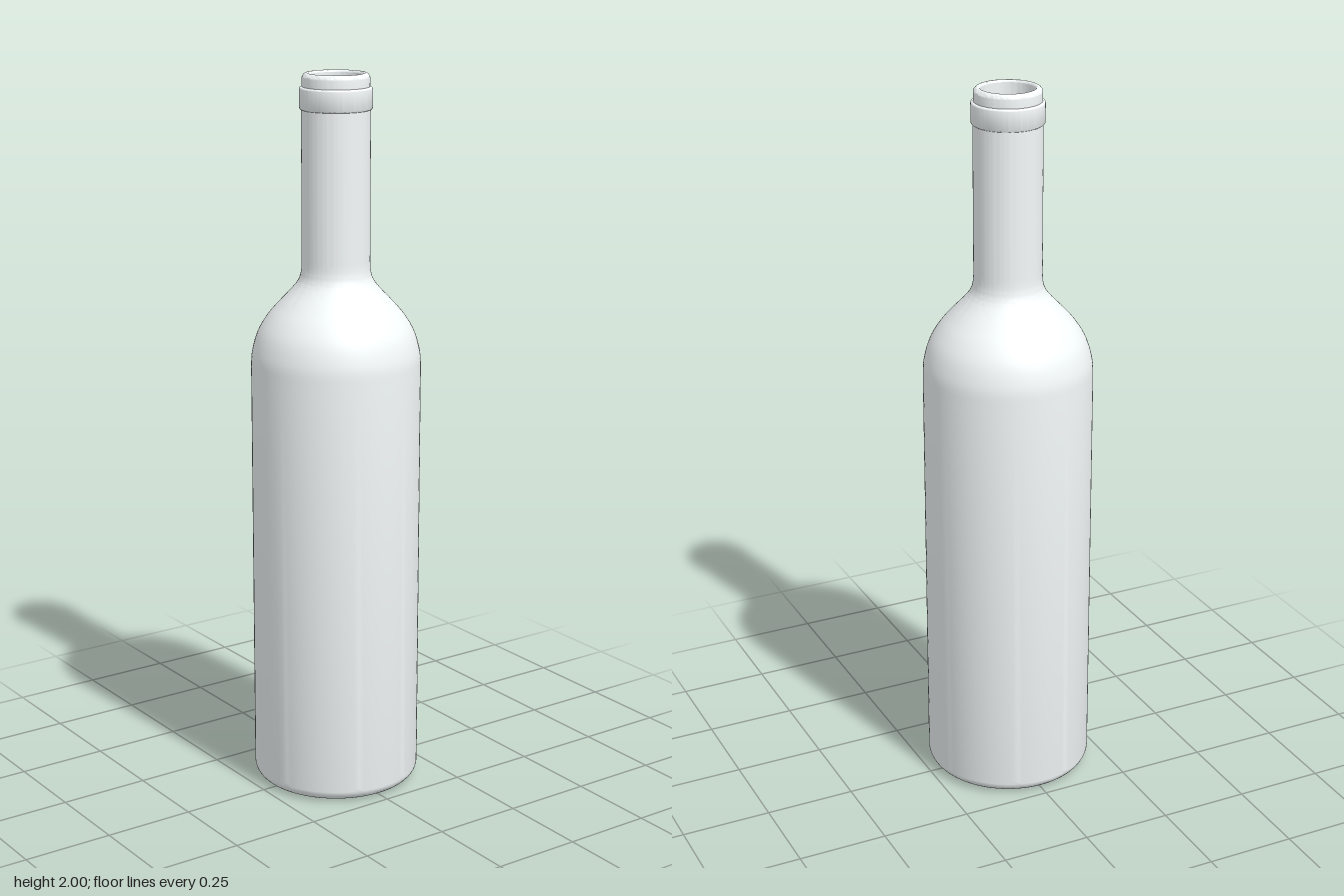
import * as THREE from 'three';
import { toCreasedNormals } from 'three/addons/utils/BufferGeometryUtils.js';

const V = (x, y) => new THREE.Vector2(x, y);
const glass = new THREE.MeshStandardMaterial({ color: 0xf5fafa });

// Surface of revolution: profiles running upwards face out, downwards face in
function turned(name, points) {
  const geometry = toCreasedNormals(new THREE.LatheGeometry(points, 96), 0.6);
  const mesh = new THREE.Mesh(geometry, glass);
  mesh.name = name;
  return mesh;
}

// Arc of radius r about (x, y) from angle a to b
function arc(x, y, r, a, b, steps = 6) {
  return Array.from({ length: steps + 1 }, (_, i) => {
    const t = a + (b - a) * i / steps;
    return V(x + r * Math.cos(t), y + r * Math.sin(t));
  });
}

// Shoulder curve from the straight body to the neck, offset inwards by the wall
function shoulder(wall) {
  return new THREE.SplineCurve([
    V(0.233, 1.2), V(0.23, 1.245), V(0.214, 1.3), V(0.187, 1.345), V(0.154, 1.383),
    V(0.122, 1.417), V(0.102, 1.444), V(0.094, 1.474), V(0.093, 1.52),
  ].map(p => V(p.x - wall, p.y))).getPoints(40);
}

export function createModel() {
  const bottle = new THREE.Group();
  bottle.name = 'bottle';
  const H = Math.PI / 2;

  // Flat base, rounded heel, body, shoulder and neck
  bottle.add(turned('body', [
    V(0, 0), ...arc(0.193, 0.04, 0.04, -H, 0, 8), ...shoulder(0), V(0.093, 1.91),
  ]));

  // Raised band below the mouth
  bottle.add(turned('neckRing', [
    V(0.09, 1.903), ...arc(0.092, 1.909, 0.006, -H, 0, 4),
    ...arc(0.092, 1.958, 0.006, 0, H, 4), V(0.087, 1.964),
  ]));

  // Rounded lip around the mouth
  bottle.add(turned('lip', [
    V(0.091, 1.96), ...arc(0.078, 1.987, 0.013, 0, H), ...arc(0.078, 1.994, 0.006, H, Math.PI, 4),
  ]));

  // Inner wall and floor
  bottle.add(turned('interior', [
    V(0.072, 1.994), ...shoulder(0.021).reverse(),
    ...arc(0.182, 0.05, 0.03, 0, -H, 8), V(0, 0.02),
  ]));

  return bottle;
}
